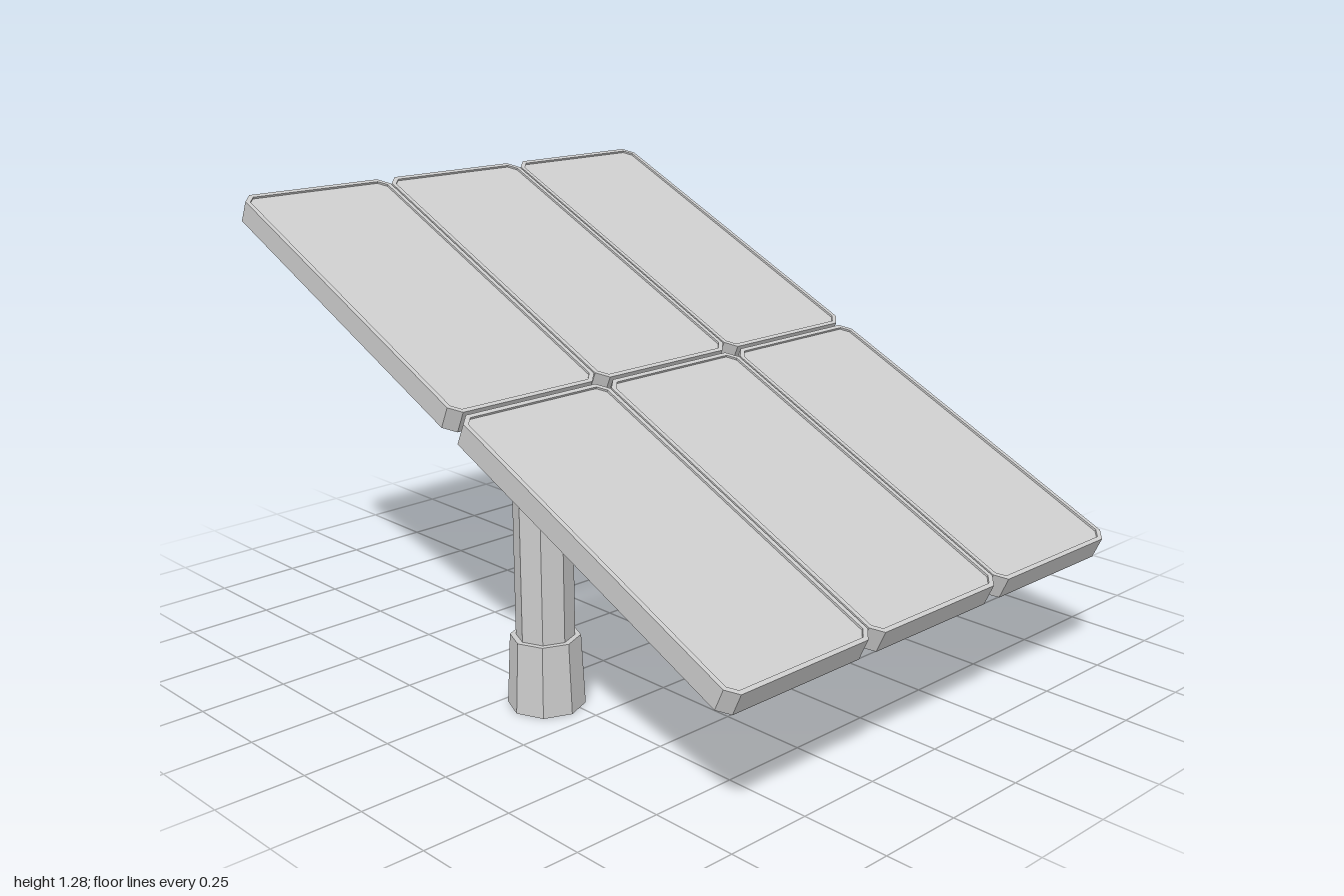
import * as THREE from 'three';
import { mergeGeometries } from 'three/addons/utils/BufferGeometryUtils.js';

const TILT = THREE.MathUtils.degToRad(24.4);
const W = 0.5, L = 1.077, T = 0.065;      // one panel: width, length, thickness
const PITCH_X = 0.505, PITCH_Z = 1.089;   // panel spacing
const RIM = 0.013, RECESS = 0.006, CUT = 0.03;
const CENTRE_Y = 0.808, POST_X = 0.541, POST_Z = 0.095;

const material = new THREE.MeshStandardMaterial({ color: 0xcccccc, flatShading: true });
const sheet = new THREE.MeshStandardMaterial({ color: 0xcccccc, flatShading: true, side: THREE.DoubleSide });

function part(name, geometry, mat = material) {
  const mesh = new THREE.Mesh(geometry, mat);
  mesh.name = name;
  return mesh;
}

// Rectangle with its four corners cut off
function cutCornerPoints(w, l, c) {
  const x = w / 2, y = l / 2;
  return [[x - c, -y], [x, -y + c], [x, y - c], [x - c, y], [-x + c, y], [-x, y - c], [-x, -y + c], [-x + c, -y]]
    .map(([a, b]) => new THREE.Vector2(a, b));
}

// Honeycomb of flat hexagonal cells filling one panel
function cellGeometry() {
  const cells = [], stepX = 0.115, stepY = 0.11, rows = 9;
  for (let col = 0; col < 4; col++) {
    for (let row = 0; row < rows; row++) {
      const hex = new THREE.CircleGeometry(1, 6);
      hex.scale(0.064, 0.053 / Math.sin(Math.PI / 3), 1);
      hex.translate((col - 1.5) * stepX, (row - (rows - 1) / 2 + (col % 2 ? 0.25 : -0.25)) * stepY, 0);
      cells.push(hex);
    }
  }
  return mergeGeometries(cells);
}

function panelGeometries() {
  const outer = cutCornerPoints(W, L, CUT);
  const inner = cutCornerPoints(W - 2 * RIM, L - 2 * RIM, CUT - RIM * 0.586);
  const glassY = T / 2 - RECESS, backY = glassY - 0.003;
  const rimShape = new THREE.Shape(outer);
  rimShape.holes.push(new THREE.Path(inner));
  const lay = (geometry, y) => geometry.rotateX(-Math.PI / 2).translate(0, y, 0);
  return {
    backing: lay(new THREE.ExtrudeGeometry(new THREE.Shape(outer), { depth: backY + T / 2, bevelEnabled: false }), -T / 2),
    rim: lay(new THREE.ExtrudeGeometry(rimShape, { depth: T / 2 - backY, bevelEnabled: false }), backY),
    cells: lay(cellGeometry(), glassY - 0.0015),
    glass: lay(new THREE.ShapeGeometry(new THREE.Shape(inner)), glassY),
  };
}

// Eight-sided post whose top follows the slope of the panels
function postGeometry() {
  const geometry = new THREE.CylinderGeometry(0.08, 0.08, 1, 8);
  const pos = geometry.attributes.position;
  const underside = CENTRE_Y - T / 2 / Math.cos(TILT) + 0.003;
  for (let i = 0; i < pos.count; i++) {
    const top = underside - (pos.getZ(i) + POST_Z) * Math.tan(TILT);
    pos.setY(i, pos.getY(i) > 0 ? top : 0.19);
  }
  geometry.computeVertexNormals();
  return geometry;
}

export function createModel() {
  const model = new THREE.Group();
  model.name = 'solarPanelArray';

  // Tilted array: three columns, two rows
  const array = new THREE.Group();
  array.name = 'panelArray';
  array.position.y = CENTRE_Y;
  array.rotation.x = TILT;
  const geo = panelGeometries();
  for (const row of [-0.5, 0.5]) {
    for (const col of [-1, 0, 1]) {
      const panel = new THREE.Group();
      panel.name = 'panel';
      panel.position.set(col * PITCH_X, 0, row * PITCH_Z);
      panel.add(
        part('panelBacking', geo.backing),
        part('panelRim', geo.rim),
        part('solarCells', geo.cells),
        part('glassCover', geo.glass, sheet),
      );
      array.add(panel);
    }
  }
  model.add(array);

  // Two posts on flared feet
  const post = postGeometry();
  const foot = new THREE.CylinderGeometry(0.096, 0.106, 0.2, 8).translate(0, 0.1, 0);
  for (const side of [-1, 1]) {
    const support = new THREE.Group();
    support.name = side > 0 ? 'leftSupport' : 'rightSupport';
    support.position.set(side * POST_X, 0, POST_Z);
    support.add(part('post', post), part('foot', foot));
    model.add(support);
  }
  return model;
}
